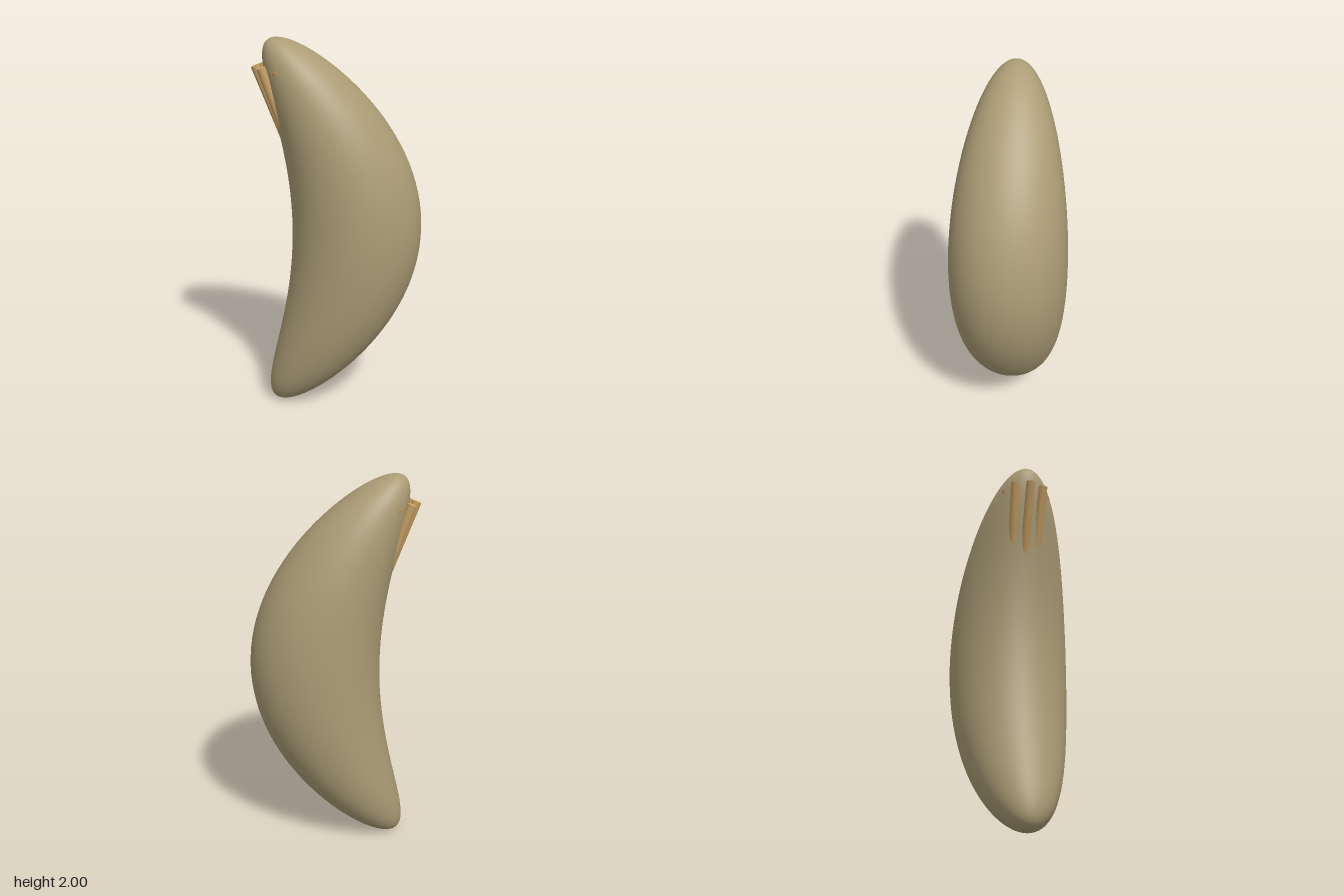
import * as THREE from 'three';

const HALF_X = 0.34, HALF_Z = 0.31, BEND = 0.405, MID_X = 0.095;

// Ellipsoid whose ends sweep back toward -x, with exact smooth normals
function bentEllipsoid() {
  const geo = new THREE.SphereGeometry(1, 72, 64);
  const pos = geo.attributes.position, nor = geo.attributes.normal;
  const n = new THREE.Vector3();
  for (let i = 0; i < pos.count; i++) {
    const x = pos.getX(i) * HALF_X, y = pos.getY(i), z = pos.getZ(i) * HALF_Z;
    const gx = x / HALF_X ** 2;
    n.set(gx, y + 2 * BEND * y * gx, z / HALF_Z ** 2).normalize();
    pos.setXYZ(i, MID_X + x - BEND * y * y, 1 + y, z);
    nor.setXYZ(i, n.x, n.y, n.z);
  }
  return geo;
}

// Cylinder running from a sunken root to an outer tip
function prong(name, tip, root, material) {
  const a = new THREE.Vector3(...root), b = new THREE.Vector3(...tip);
  const dir = b.clone().sub(a);
  const mesh = new THREE.Mesh(new THREE.CylinderGeometry(0.023, 0.023, dir.length(), 16), material);
  mesh.name = name;
  mesh.position.copy(a).add(b).multiplyScalar(0.5);
  mesh.quaternion.setFromUnitVectors(new THREE.Vector3(0, 1, 0), dir.normalize());
  return mesh;
}

export function createModel() {
  const group = new THREE.Group();
  group.name = 'curvedPod';
  const bodyMat = new THREE.MeshStandardMaterial({ color: 0xab9c75 });
  bodyMat.name = 'khaki';
  const prongMat = new THREE.MeshStandardMaterial({ color: 0xc8a064 });
  prongMat.name = 'tan';

  // Crescent body
  const body = new THREE.Mesh(bentEllipsoid(), bodyMat);
  body.name = 'body';
  group.add(body);

  // Fan of prongs near the upper end of the hollow side
  const prongs = new THREE.Group();
  prongs.name = 'prongs';
  prongs.add(prong('middleProng', [-0.417, 1.86, 0], [-0.279, 1.5, 0], prongMat));
  for (const s of [1, -1]) {
    const side = s > 0 ? 'front' : 'back';
    prongs.add(prong(side + 'InnerProng', [-0.387, 1.86, s * 0.077], [-0.262, 1.5, s * 0.062], prongMat));
    prongs.add(prong(side + 'OuterProng', [-0.311, 1.852, s * 0.107], [-0.2, 1.5, s * 0.085], prongMat));
  }
  group.add(prongs);
  return group;
}
